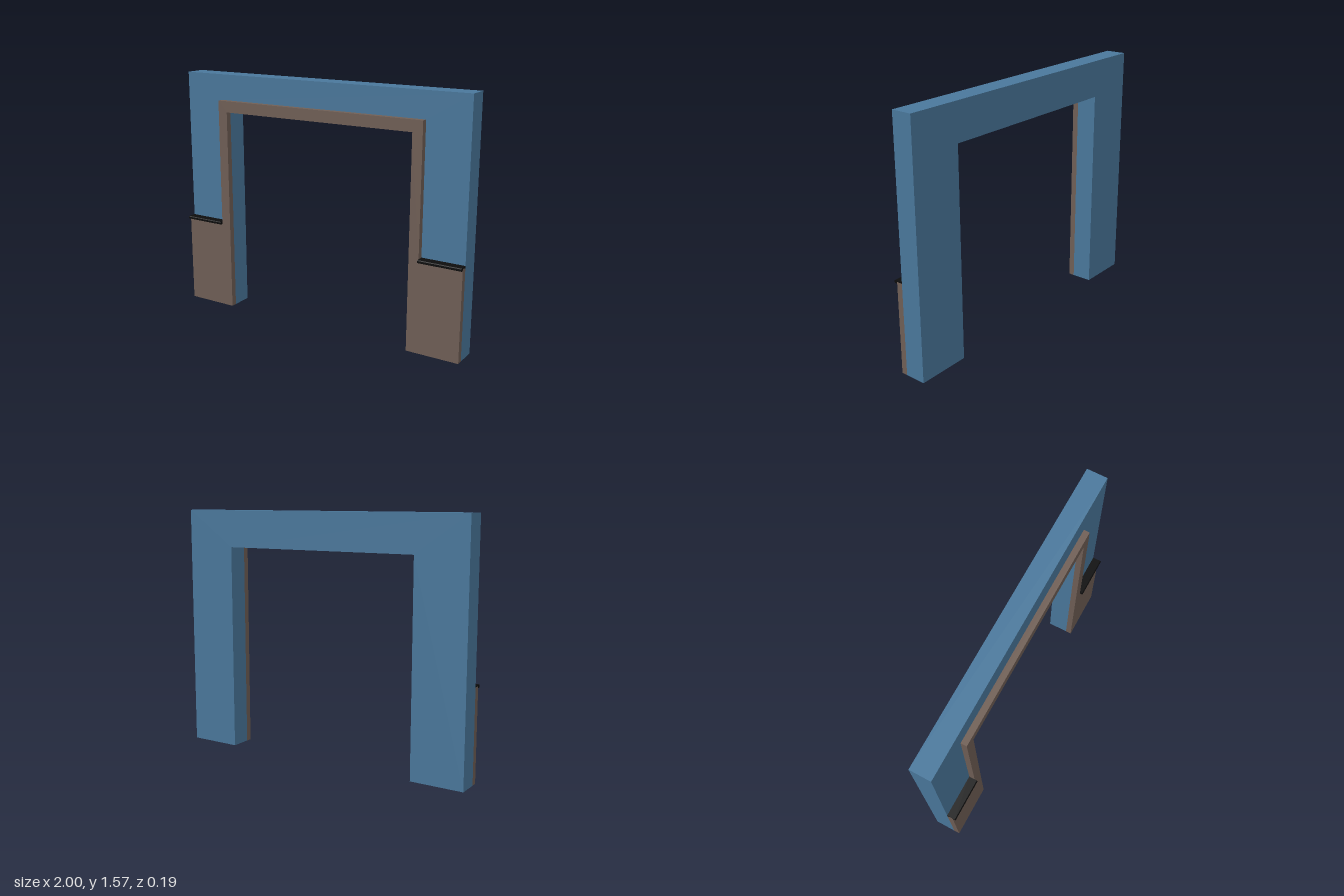
import * as THREE from 'three';

const BACK = -0.095, MID = 0.037, FRONT = 0.075;
const H = 1.57, IN = 0.66, IN_Y = 1.333, TRIM = 0.725, TRIM_Y = 1.405, LEDGE = 0.585;

const mat = (name, color) => {
  const m = new THREE.MeshStandardMaterial({ color, side: THREE.DoubleSide });
  m.name = name;
  return m;
};

// Completes a right-hand half outline with its mirror image
const mirrored = (half) => [...half, ...half.map(([x, y]) => [-x, y]).reverse()];

// Flat panel bounded by an outline, at depth z
function panel(outline, z, facingBack = false) {
  const geo = new THREE.ShapeGeometry(new THREE.Shape(outline.map(([x, y]) => new THREE.Vector2(x, y))));
  if (facingBack) geo.rotateY(Math.PI);
  return geo.translate(0, 0, z);
}

// Flat-shaded strip following a path between two depths
function ribbon(path, z0, z1) {
  const pos = [];
  for (let i = 0; i < path.length - 1; i++) {
    const [ax, ay] = path[i], [bx, by] = path[i + 1];
    pos.push(ax, ay, z0, bx, by, z0, bx, by, z1, ax, ay, z0, bx, by, z1, ax, ay, z1);
  }
  const geo = new THREE.BufferGeometry();
  geo.setAttribute('position', new THREE.Float32BufferAttribute(pos, 3));
  geo.computeVertexNormals();
  return geo;
}

export function createModel() {
  const group = new THREE.Group();
  const blue = mat('blue wall', 0x4a789c);
  const brown = mat('brown trim', 0x705f56);
  const black = mat('black ledge', 0x0d0d0d);
  const add = (name, geo, material) => {
    const mesh = new THREE.Mesh(geo, material);
    mesh.name = name;
    group.add(mesh);
    return mesh;
  };

  const outer = mirrored([[1, 0], [1, H]]);
  const opening = mirrored([[IN, 0], [IN, IN_Y]]);
  const trimEdge = mirrored([[1, 0], [1, LEDGE], [TRIM, LEDGE], [TRIM, TRIM_Y]]);
  const openingBack = [...opening].reverse();

  // Hollow wall, open under the legs
  add('wallBack', panel([...outer, ...openingBack], BACK, true), blue);
  add('wallOuterSides', ribbon(outer, MID, BACK), blue);
  add('wallOpeningSides', ribbon(openingBack, MID, BACK), blue);
  const wallFront = mirrored([[1, LEDGE], [1, H]]);
  const trimTop = mirrored([[TRIM, LEDGE], [TRIM, TRIM_Y]]).reverse();
  add('wallFront', panel([...wallFront, ...trimTop], MID), blue);

  // Raised trim: dado panels joined by the frame round the opening
  add('trimFront', panel([...trimEdge, ...openingBack], FRONT), brown);
  add('trimOuterSides', ribbon(trimEdge, FRONT, MID), brown);
  add('trimOpeningSides', ribbon(openingBack, FRONT, MID), brown);

  for (const [side, s] of [['left', 1], ['right', -1]]) {
    // Underside of each dado panel
    const foot = s > 0 ? [[IN, 0], [1, 0]] : [[-1, 0], [-IN, 0]];
    add(side + 'TrimUnderside', ribbon(foot, FRONT, MID), brown);

    // Ledge capping each dado panel, with a slightly eased front edge
    const profile = new THREE.Shape([
      [MID, 0.574], [0.089, 0.574], [0.095, 0.578], [0.095, 0.589], [0.09, 0.593], [MID, 0.593],
    ].map(([z, y]) => new THREE.Vector2(-z, y)));
    const geo = new THREE.ExtrudeGeometry(profile, { depth: 1 - TRIM, bevelEnabled: false });
    geo.rotateY(Math.PI / 2).translate(s > 0 ? TRIM : -1, 0, 0);
    add(side + 'Ledge', geo, black);
  }
  return group;
}
